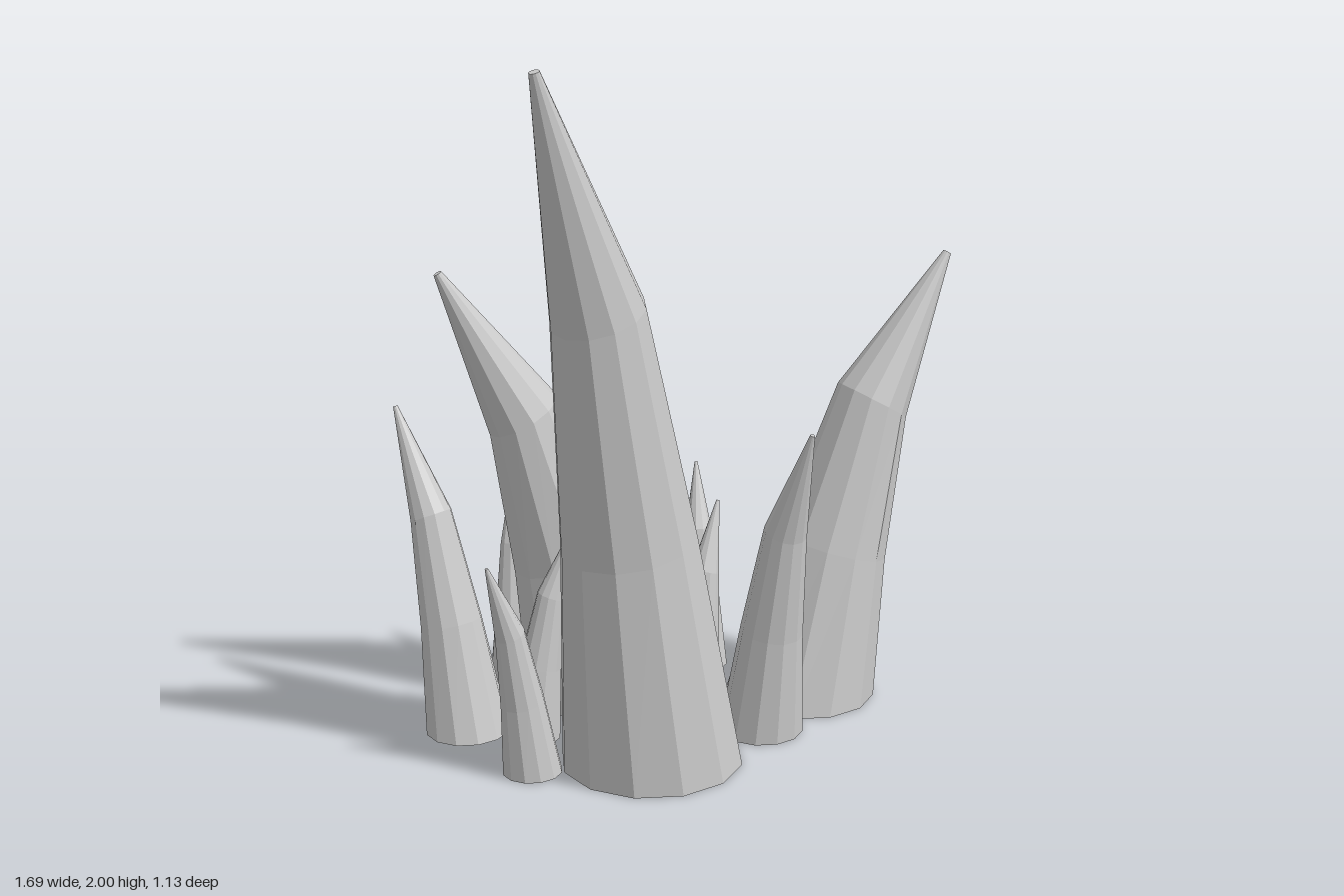
import * as THREE from 'three';

const material = new THREE.MeshStandardMaterial({ color: 0xcccccc, flatShading: true });
const UP = new THREE.Vector3(0, 1, 0);

// Shared bend and taper, at the base, two middle rings and the tip
const RISE = [0, 0.345, 0.675, 1];
const LEAN = [0, 0.215, 0.485, 1];
const TAPER = [1, 0.74, 0.505, 0.055];

// A 12-sided cylinder whose rings are tapered, shifted and tilted along a bending axis
function createSpike(name, height, radius, [baseX, baseZ], [tipX, tipZ]) {
  const centers = RISE.map((rise, i) => new THREE.Vector3(
    baseX + (tipX - baseX) * LEAN[i], rise * height, baseZ + (tipZ - baseZ) * LEAN[i]));

  // The base stays flat on the ground; other rings face along the next segment
  const tilts = centers.map((c, i) => {
    const q = new THREE.Quaternion();
    if (i === 0) return q;
    const from = Math.min(i, 2);
    const direction = centers[from + 1].clone().sub(centers[from]).normalize();
    return q.setFromUnitVectors(UP, direction);
  });

  const geometry = new THREE.CylinderGeometry(radius, radius, 3, 12, 3);
  const position = geometry.attributes.position;
  const v = new THREE.Vector3();
  for (let i = 0; i < position.count; i++) {
    v.fromBufferAttribute(position, i);
    const ring = Math.round(v.y + 1.5);
    v.setY(0).multiplyScalar(TAPER[ring]).applyQuaternion(tilts[ring]).add(centers[ring]);
    position.setXYZ(i, v.x, v.y, v.z);
  }
  geometry.computeVertexNormals();

  const mesh = new THREE.Mesh(geometry, material);
  mesh.name = name;
  return mesh;
}

export function createModel() {
  const group = new THREE.Group();
  group.name = 'spikeCluster';

  // name, height, base radius, base [x, z], tip [x, z]
  const spikes = [
    // Large spikes
    ['tallFrontSpike', 1.995, 0.264, [-0.255, 0.287], [-0.642, 0.55]],
    ['largeBackSpike', 1.362, 0.231, [-0.238, -0.242], [-0.715, -0.243]],
    ['largeLeftSpike', 1.362, 0.231, [0.348, -0.023], [0.832, -0.04]],
    // Medium spikes
    ['mediumFrontSpike', 0.96, 0.125, [0.121, 0.205], [0.178, 0.424]],
    ['mediumRightSpike', 0.96, 0.125, [-0.7, -0.105], [-0.837, -0.317]],
    // Small spikes
    ['smallBackRightSpike', 0.64, 0.086, [-0.455, -0.435], [-0.42, -0.558]],
    ['smallBackLeftSpike', 0.64, 0.086, [0.141, -0.35], [0.177, -0.487]],
    ['smallInnerSpike', 0.64, 0.086, [-0.535, 0.012], [-0.393, 0.015]],
    ['smallCenterSpike', 0.64, 0.086, [-0.025, 0.015], [0.089, -0.069]],
    ['smallFrontRightSpike', 0.64, 0.086, [-0.6, 0.243], [-0.732, 0.297]],
  ];
  for (const spike of spikes) group.add(createSpike(...spike));

  return group;
}
